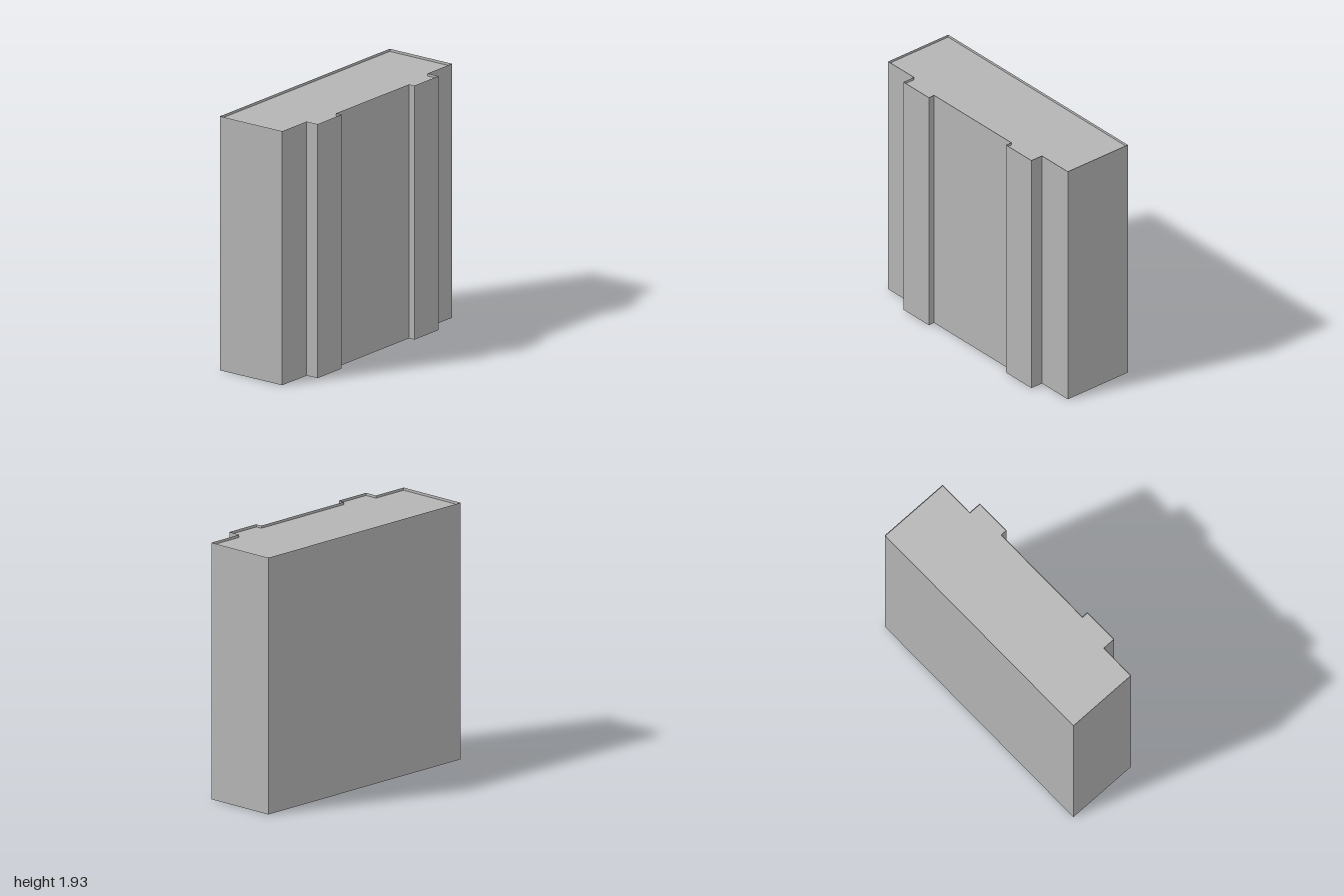
import * as THREE from 'three';

const HEIGHT = 1.93, ROOF_Y = 1.91;

export function createModel() {
  const group = new THREE.Group();
  group.name = 'buildingShell';
  const concrete = new THREE.MeshStandardMaterial({ color: 0xb4b4b4, side: THREE.DoubleSide });
  concrete.name = 'concreteGrey';

  // Half of the floor plan (x, z) from the back corner to the front centre panel
  const half = [[1, -0.335], [1, 0.235], [0.712, 0.235], [0.712, 0.335], [0.43, 0.335], [0.43, 0.285]];
  const plan = [...half, ...half.map(([x, z]) => [-x, z]).reverse()];
  const names = ['leftWall', 'leftBay', 'leftPilasterOuterSide', 'leftPilaster', 'leftPilasterInnerSide', 'centrePanel',
    'rightPilasterInnerSide', 'rightPilaster', 'rightPilasterOuterSide', 'rightBay', 'rightWall', 'backWall'];

  // Thin walls, open at the bottom, one per side of the plan
  plan.forEach(([x0, z0], i) => {
    const [x1, z1] = plan[(i + 1) % plan.length];
    const geometry = new THREE.PlaneGeometry(Math.hypot(x1 - x0, z1 - z0), HEIGHT);
    const wall = new THREE.Mesh(geometry, concrete);
    wall.name = names[i];
    wall.position.set((x0 + x1) / 2, HEIGHT / 2, (z0 + z1) / 2);
    // turn the plane so its front looks outwards
    wall.rotation.y = Math.atan2(z1 - z0, -(x1 - x0));
    group.add(wall);
  });

  // Flat roof set just below the wall tops, leaving a low parapet
  const shape = new THREE.Shape(plan.map(([x, z]) => new THREE.Vector2(x, -z)));
  const roof = new THREE.Mesh(new THREE.ShapeGeometry(shape), concrete);
  roof.name = 'roof';
  roof.rotation.x = -Math.PI / 2;
  roof.position.y = ROOF_Y;
  group.add(roof);

  return group;
}
